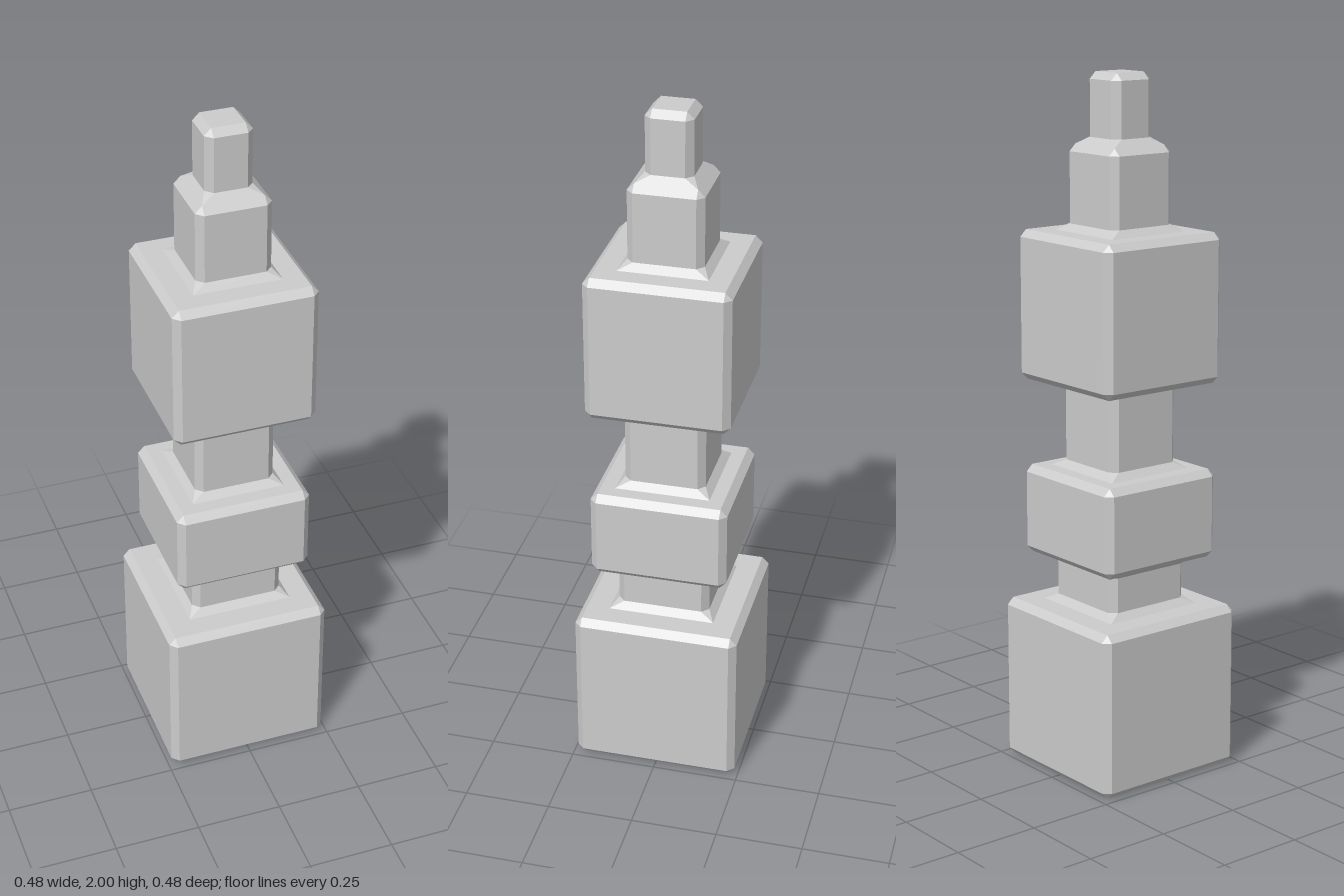
import * as THREE from 'three';

const E = 0.02; // bevel width used everywhere

// Square ring with cut corners (c = 0 gives a sharp square), anticlockwise from above
function ring(y, h, c) {
  const k = h - c;
  return [[h, k], [h, -k], [k, -h], [-k, -h], [-h, -k], [-h, k], [-k, h], [k, h]]
    .map(([x, z]) => new THREE.Vector3(x, y, z));
}

// Flat-shaded skin over rings listed from bottom to top
function skin(rings) {
  const pts = [];
  const tri = (a, b, c) => {
    if (new THREE.Triangle(a, b, c).getArea() > 1e-8) pts.push(a, b, c);
  };
  for (let r = 0; r < rings.length - 1; r++) {
    const lo = rings[r], hi = rings[r + 1];
    for (let i = 0; i < 8; i++) {
      const j = (i + 1) % 8;
      tri(lo[i], lo[j], hi[j]);
      tri(lo[i], hi[j], hi[i]);
    }
  }
  const geometry = new THREE.BufferGeometry().setFromPoints(pts);
  geometry.computeVertexNormals();
  return geometry;
}

export function createModel() {
  const group = new THREE.Group();
  const material = new THREE.MeshStandardMaterial({ color: 0xcccccc, flatShading: true });

  // Stacked sections: bottom height, half width, and whether each end
  // is bevelled inward (-1) or flares outward into its neighbour (+1)
  const sections = [
    { name: 'baseBlock', y: 0, half: 0.24, bottom: -1, top: -1 },
    { name: 'lowerNeck', y: 0.483, half: 0.135, bottom: 1, top: 1 },
    { name: 'middleBlock', y: 0.625, half: 0.198, bottom: -1, top: -1 },
    { name: 'upperNeck', y: 0.885, half: 0.117, bottom: 1, top: 1 },
    { name: 'upperBlock', y: 1.135, half: 0.206, bottom: -1, top: -1 },
    { name: 'topPedestal', y: 1.562, half: 0.107, bottom: 1, top: -1 },
    { name: 'finial', y: 1.802, half: 0.067, bottom: 1, top: -1 },
  ];

  sections.forEach((s, i) => {
    const below = sections[i - 1], above = sections[i + 1];
    const y1 = above ? above.y : 2;
    const rings = [
      ring(s.y, s.half + s.bottom * E, 0),
      ring(s.y + E, s.half, E),
      ring(y1 - E, s.half, E),
      ring(y1, s.half + s.top * E, 0),
    ];
    // Ledges run inward to the adjoining section, or close at the ends
    if (s.bottom < 0) rings.unshift(ring(s.y, below ? below.half + E : 0, 0));
    if (s.top < 0) rings.push(ring(y1, above ? above.half + E : 0, 0));
    const mesh = new THREE.Mesh(skin(rings), material);
    mesh.name = s.name;
    group.add(mesh);
  });

  return group;
}
